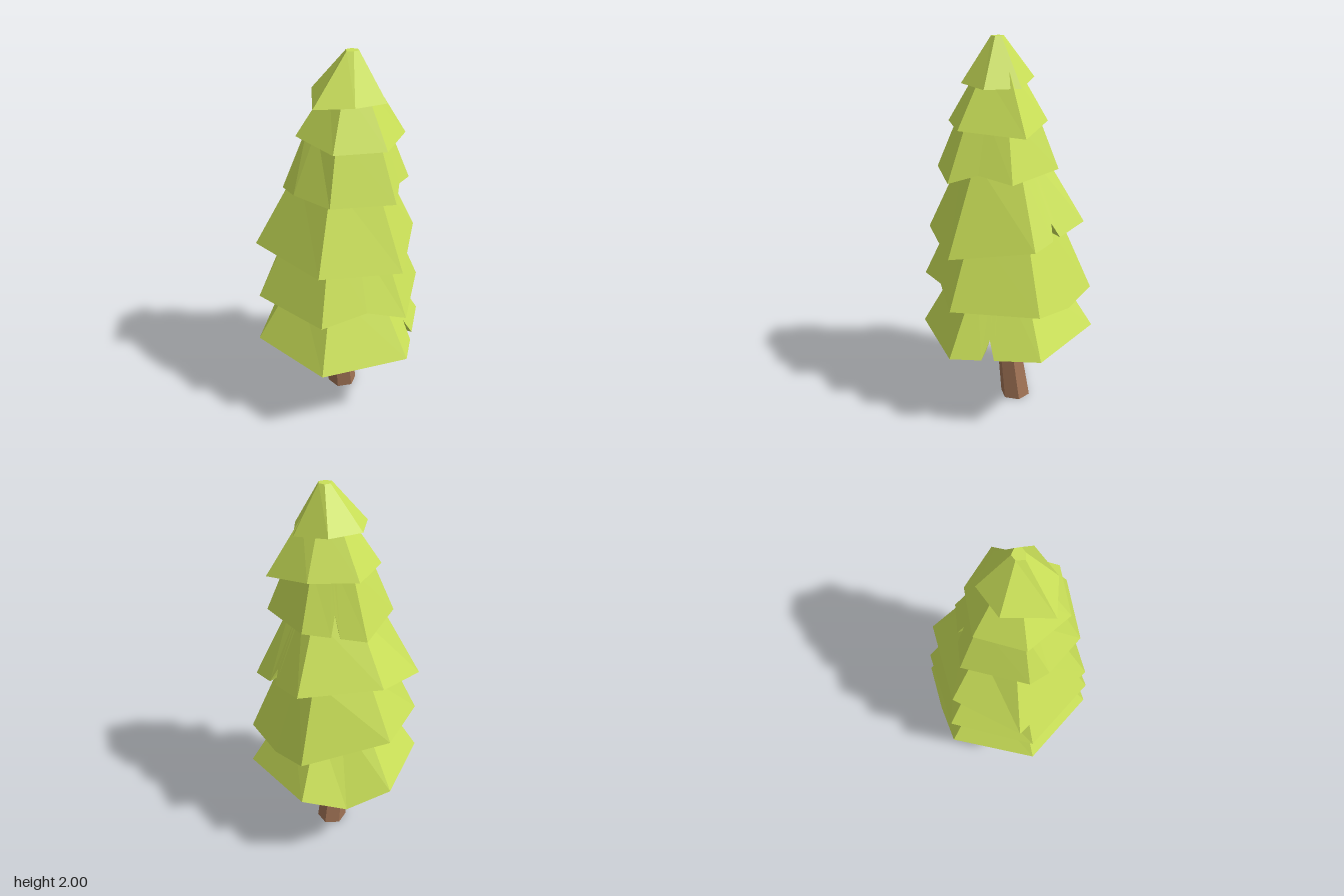
import * as THREE from 'three';

const leafMat = new THREE.MeshStandardMaterial({ color: 0xcae058, flatShading: true });
const barkMat = new THREE.MeshStandardMaterial({ color: 0xa07355, flatShading: true });

// Skins a stack of rings (arrays of Vector3, clockwise seen from above);
// the first and last rings are collapsed to a point and close the ends.
function loft(rings, material, name) {
  const corners = [];
  const last = rings.length - 2;
  for (let r = 0; r <= last; r++) {
    const a = rings[r], b = rings[r + 1];
    a.forEach((p, i) => {
      const j = (i + 1) % a.length;
      if (r < last) corners.push(p, b[i], b[j]);
      if (r > 0) corners.push(p, b[j], a[j]);
    });
  }
  const geo = new THREE.BufferGeometry().setFromPoints(corners);
  geo.computeVertexNormals();
  const mesh = new THREE.Mesh(geo, material);
  mesh.name = name;
  return mesh;
}

// Irregular hexagonal hem starting at the back: each point has its place on the
// hexagon (base) and its final place (hem) after bends [edge, along, push, y]
// or a notch torn up the slope, tear [edge, along, depth].
function hemPoints({ x = 0, z = 0, radius, twist, heights, turn, reach, bends = [], tear }, toTop) {
  const corners = heights.map((y, i) => {
    const a = THREE.MathUtils.degToRad(twist + i * 60 + (turn ? turn[i] : 0));
    const r = radius * (reach ? reach[i] : 1);
    return new THREE.Vector3(r * Math.sin(a) + x, y, z - r * Math.cos(a));
  });
  const onEdge = (edge, t) => corners[edge].clone().lerp(corners[(edge + 1) % 6], t);
  const points = corners.map((base, key) => ({ key, base, hem: base }));
  for (const [edge, t, push, y] of bends) {
    const base = onEdge(edge, t);
    points.push({ key: edge + t, base, hem: base.clone().multiplyScalar(push).setY(y) });
  }
  if (tear) {
    const [edge, t, depth] = tear;
    for (const [shift, up] of [[-0.07, 0], [0, depth], [0.07, 0]]) {
      const base = onEdge(edge, t + shift);
      points.push({ key: edge + t + shift, base, hem: base.clone().lerp(toTop(base), up) });
    }
  }
  return points.sort((a, b) => a.key - b.key);
}

// Hollow skirt: ceiling, inner wall, rim underside, outer slope, top.
function foliageTier(tier, index) {
  const { topY, topScale, heights } = tier;
  const axisZ = Math.max(0, topY - 1.1) * 0.083;
  const shrink = (p, s, y) => new THREE.Vector3(p.x * s, y, axisZ + (p.z - axisZ) * s);
  const toTop = p => shrink(p, topScale, topY);
  const points = hemPoints(tier, toTop);
  const ceiling = THREE.MathUtils.lerp(Math.min(...heights), topY, 0.4);
  return loft([
    points.map(p => shrink(p.base, 0, ceiling)),
    points.map(p => shrink(p.base, 0.62, ceiling)),
    points.map(p => shrink(p.hem, 0.82, p.hem.y + 0.015)),
    points.map(p => p.hem),
    points.map(p => toTop(p.base)),
    points.map(p => shrink(p.base, 0, topY)),
  ], leafMat, 'foliageTier' + (index + 1));
}

// Tiers from bottom to tip
const tiers = [
  { radius: 0.468, twist: 3.5, topY: 0.82, topScale: 0.52,
    heights: [0.48, 0.47, 0.45, 0.43, 0.43, 0.45],
    bends: [[0, 0.5, 1.03, 0.395]], tear: [2, 0.58, 0.24] },
  { radius: 0.452, twist: 4, topY: 1.1, topScale: 0.6,
    heights: [0.8, 0.7, 0.69, 0.69, 0.72, 0.72],
    bends: [[1, 0.48, 1.03, 0.66], [3, 0.46, 0.96, 0.755]] },
  { radius: 0.42, twist: 7.5, topY: 1.42, topScale: 0.5,
    heights: [1.1, 1.08, 1.02, 0.96, 0.99, 1.0],
    turn: [-2, 1, -2, -1, -1, 6], reach: [0.95, 0.97, 0.98, 1.03, 1.01, 1.06],
    tear: [1, 0.58, 0.2] },
  { x: -0.01, z: 0.044, radius: 0.328, twist: 8, topY: 1.65, topScale: 0.6,
    heights: [1.33, 1.36, 1.345, 1.335, 1.34, 1.34],
    turn: [3, 1, 6, 2, -2, 1], reach: [1.05, 0.92, 0.98, 1.07, 1, 0.98],
    bends: [[2, 0.55, 0.95, 1.38], [4, 0.68, 1.08, 1.34]], tear: [0, 0.48, 0.34] },
  { z: 0.05, radius: 0.27, twist: 7, topY: 1.85, topScale: 0.38,
    heights: [1.6, 1.6, 1.56, 1.58, 1.58, 1.6],
    turn: [0, -1, -5, 5, 1, 2], reach: [0.97, 0.87, 1.13, 1.03, 1, 0.97] },
  { x: -0.02, z: 0.057, radius: 0.195, twist: -14, topY: 2, topScale: 0.17,
    heights: [1.8, 1.8, 1.77, 1.77, 1.78, 1.77],
    turn: [2, -2, 0, -4, -5, -9], reach: [0.98, 0.97, 0.98, 1.01, 0.9, 1.16] },
];

export function createModel() {
  const tree = new THREE.Group();
  tree.name = 'pineTree';

  // Bent six-sided trunk
  const ring = (x, y, z, r) => Array.from({ length: 6 }, (_, i) => {
    const a = i * Math.PI / 3 + 0.7;
    return new THREE.Vector3(x + r * Math.cos(a), y, z + r * Math.sin(a));
  });
  tree.add(loft([
    ring(0.045, 0, -0.022, 0),
    ring(0.045, 0, -0.022, 0.082),
    ring(0.015, 0.225, -0.018, 0.071),
    ring(0.035, 0.45, 0, 0.06),
    ring(0.045, 0.65, 0.01, 0.055),
    ring(0.045, 0.65, 0.01, 0),
  ], barkMat, 'trunk'));

  tiers.forEach((tier, i) => tree.add(foliageTier(tier, i)));
  return tree;
}
